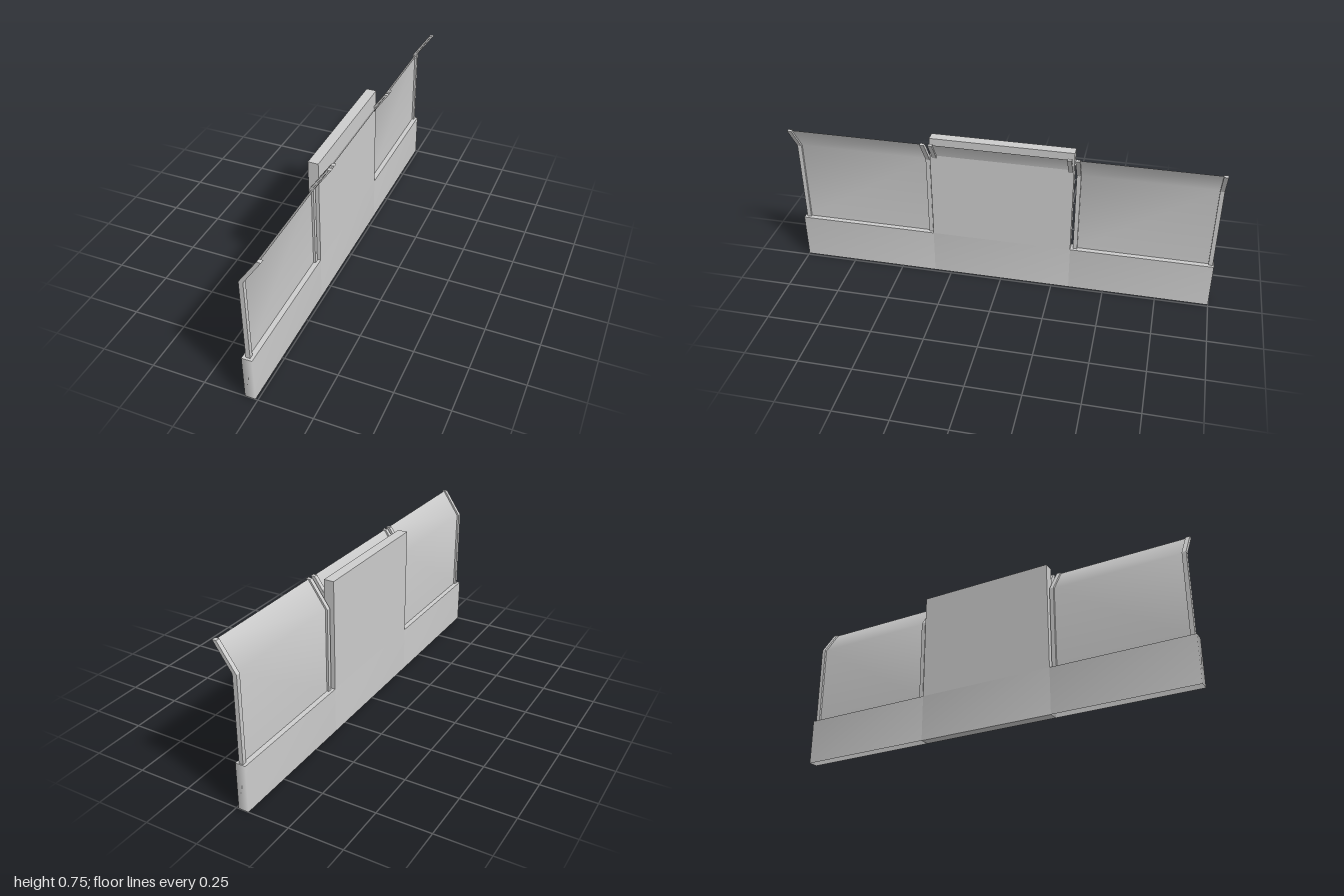
import * as THREE from 'three';

const BAY = 2 / 3;           // length of one wall bay
const BASE_H = 0.222, BEND_Y = 0.623, TOP = 0.745;
const X0 = -0.059, X1 = -0.011;
const POST_W = 0.02, PANEL_A = -0.328, PANEL_B = 0.322;

export function createModel() {
  const grey = new THREE.MeshStandardMaterial({ color: 0xcccccc, side: THREE.DoubleSide });
  grey.name = 'light grey';
  const model = new THREE.Group();
  model.name = 'wallBarrier';

  const add = (parent, geometry, name) => {
    const mesh = new THREE.Mesh(geometry, grey);
    mesh.name = name;
    parent.add(mesh);
    return mesh;
  };

  // Four walls with softly shaded corners, open above and below
  const baseWalls = () => {
    const z = BAY / 2, pos = [], idx = [];
    const corners = [[X1, z], [X1, -z], [X0, -z], [X0, z]];
    corners.forEach(([x, cz]) => pos.push(x, 0, cz, x, BASE_H, cz));
    for (let i = 0; i < 4; i++) {
      const a = 2 * i, b = 2 * ((i + 1) % 4);
      idx.push(a, b, b + 1, a, b + 1, a + 1);
    }
    return smooth(pos, idx);
  };

  // Thin sheet that runs straight up and then leans outward
  const sheet = () => {
    const pos = [], idx = [];
    [[-0.035, BASE_H], [-0.035, BEND_Y], [0.048, TOP]].forEach(([x, y]) =>
      pos.push(x, y, PANEL_B - POST_W / 2, x, y, PANEL_A + POST_W / 2));
    for (let i = 0; i < 4; i += 2) idx.push(i, i + 1, i + 3, i, i + 3, i + 2);
    return smooth(pos, idx);
  };

  // Bent post profile
  const profile = new THREE.Shape([
    [-0.045, BASE_H], [-0.025, BASE_H], [-0.025, BEND_Y],
    [0.058, TOP], [0.039, TOP], [-0.045, BEND_Y],
  ].map(([x, y]) => new THREE.Vector2(x, y)));
  const postGeo = new THREE.ExtrudeGeometry(profile, { depth: POST_W, bevelEnabled: false });

  // Flat cap for the base, open side up
  const cap = (parent, y, up, name) => {
    const mesh = add(parent, new THREE.PlaneGeometry(X1 - X0, BAY), name);
    mesh.rotation.x = up ? -Math.PI / 2 : Math.PI / 2;
    mesh.position.set((X0 + X1) / 2, y, 0);
  };

  [-1, 0, 1].forEach((k) => {
    const bay = new THREE.Group();
    bay.name = k === 0 ? 'middleBay' : k < 0 ? 'backBay' : 'frontBay';
    bay.position.z = k * BAY;
    model.add(bay);

    add(bay, baseWalls(), 'base');
    add(bay, sheet(), 'bentPanel');
    [PANEL_A, PANEL_B - POST_W].forEach((z) => {
      add(bay, postGeo, 'bentPost').position.z = z;
    });

    if (k === 0) {
      // Tall solid block standing on the middle base
      const h = TOP - BASE_H;
      add(bay, new THREE.BoxGeometry(X1 - X0, h, BAY), 'tallBlock')
        .position.set((X0 + X1) / 2, BASE_H + h / 2, 0);
      cap(bay, 0, false, 'baseUnderside');
    } else {
      cap(bay, BASE_H, true, 'baseTop');
    }
  });
  return model;
}

// Indexed geometry with shared, smooth normals
function smooth(positions, indices) {
  const g = new THREE.BufferGeometry();
  g.setAttribute('position', new THREE.Float32BufferAttribute(positions, 3));
  g.setIndex(indices);
  g.computeVertexNormals();
  return g;
}
